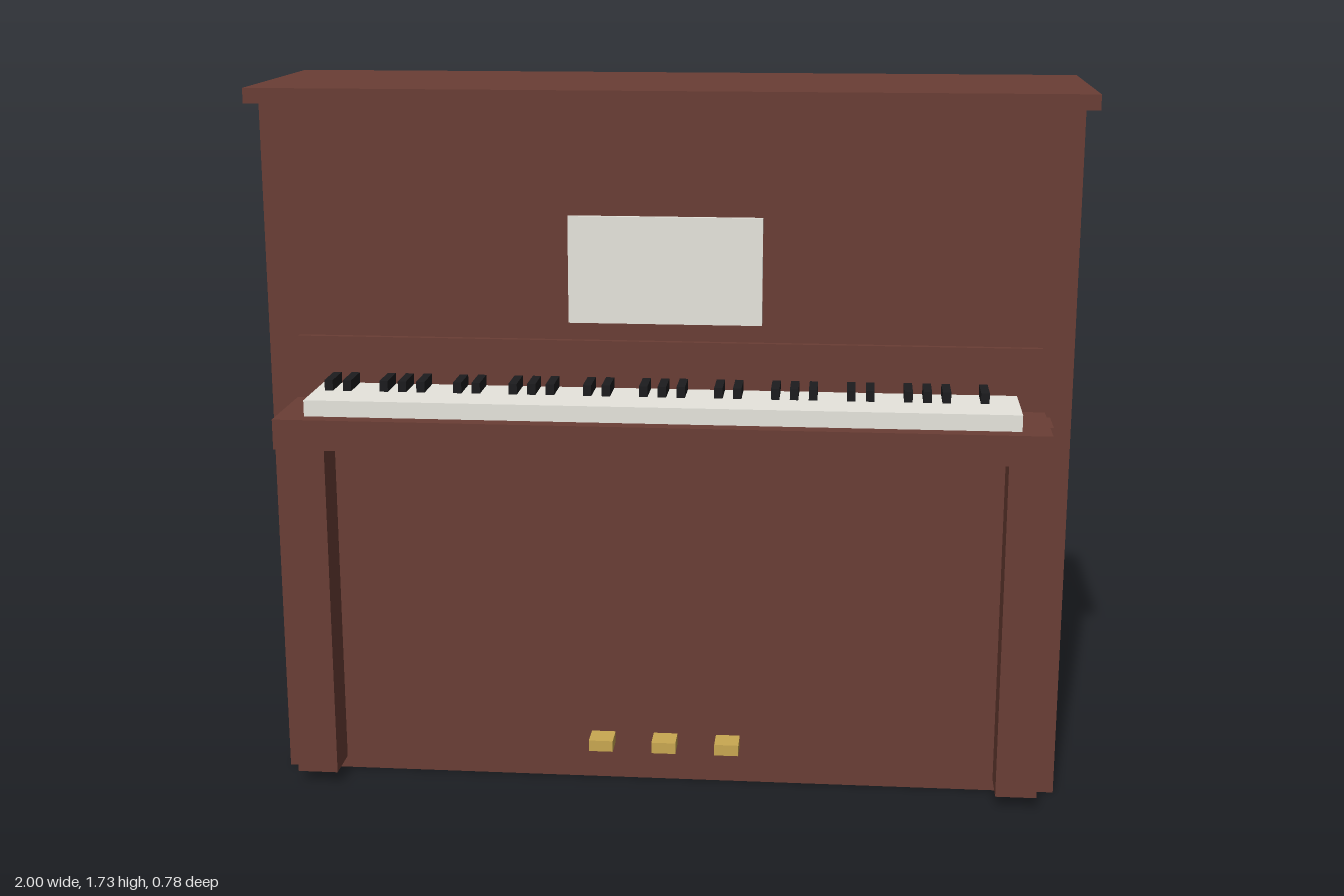
import * as THREE from 'three';

const material = (name, color) => {
  const m = new THREE.MeshStandardMaterial({ color });
  m.name = name;
  return m;
};

export function createModel() {
  const wood = material('mahogany', 0x6a3e35);
  const ivory = material('ivory', 0xeeece4);
  const ebony = material('ebony', 0x1c1c1e);
  const brass = material('brass', 0xc9a851);

  const piano = new THREE.Group();
  piano.name = 'uprightPiano';

  // Box given by its extents along each axis
  const box = (name, mat, [x0, x1], [y0, y1], [z0, z1], parent = piano) => {
    const mesh = new THREE.Mesh(new THREE.BoxGeometry(x1 - x0, y1 - y0, z1 - z0), mat);
    mesh.position.set((x0 + x1) / 2, (y0 + y1) / 2, (z0 + z1) / 2);
    mesh.name = name;
    parent.add(mesh);
    return mesh;
  };
  const front = 0.155; // front plane of the case

  // Case and overhanging lid
  box('case', wood, [-0.97, 0.97], [0, 1.692], [-0.36, front]);
  box('lid', wood, [-1, 1], [1.692, 1.728], [-0.388, 0.182]);

  // Key bed, fallboard and legs
  box('keyBed', wood, [-0.907, 0.907], [0.902, 0.975], [front, 0.388]);
  box('fallboard', wood, [-0.895, 0.895], [1.057, 1.132], [front, 0.17]);
  box('rightLeg', wood, [-0.92, -0.82], [0.03, 0.963], [front, 0.26]);
  box('leftLeg', wood, [0.82, 0.92], [0.03, 0.963], [front, 0.26]);

  // Sheet on the music desk
  box('musicSheet', ivory, [-0.232, 0.232], [1.175, 1.432], [front, 0.168]);

  // White keys as one slab, black keys in groups of three and two
  box('whiteKeys', ivory, [-0.84, 0.84], [0.975, 1.014], [front, 0.35]);
  const blackKeys = new THREE.Group();
  blackKeys.name = 'blackKeys';
  piano.add(blackKeys);
  for (let i = -18; i <= 17; i++) {
    if ([2, 5].includes((i + 21) % 7)) continue; // gaps between groups
    const x = i * 0.0447;
    box('blackKey', ebony, [x - 0.01, x + 0.01], [1.014, 1.04], [front, 0.246], blackKeys);
  }

  // Three pedals
  for (const x of [-0.157, 0, 0.157]) {
    box('pedal', brass, [x - 0.03, x + 0.03], [0.095, 0.123], [front, 0.22]);
  }

  return piano;
}
